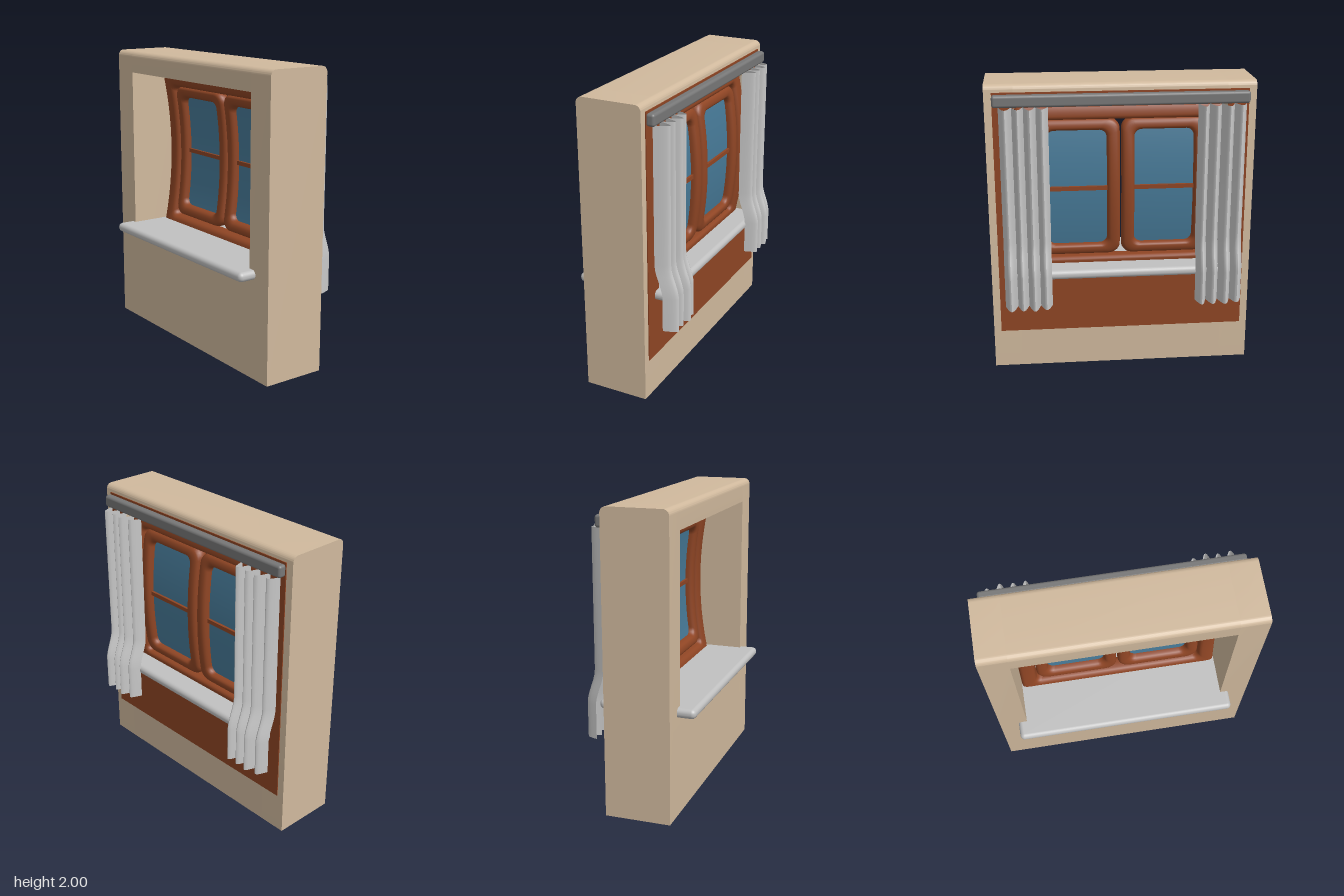
import * as THREE from 'three';
import { toCreasedNormals } from 'three/addons/utils/BufferGeometryUtils.js';
import { RoundedBoxGeometry } from 'three/addons/geometries/RoundedBoxGeometry.js';

const mat = (name, color, side = THREE.FrontSide) => {
  const m = new THREE.MeshStandardMaterial({ color, side });
  m.name = name;
  return m;
};

// Window opening: half width, bottom and top
const OPEN_X = 0.7, OPEN_Y0 = 0.67, OPEN_Y1 = 1.85, MID_Y = 1.265;
const BACK = -0.19, FRONT = 0.25;

// Bow the joinery towards the room, most at mid height
function bow(geo) {
  const p = geo.attributes.position;
  for (let i = 0; i < p.count; i++) {
    const t = (p.getY(i) - MID_Y) / 0.59;
    p.setZ(i, p.getZ(i) - 0.05 - 0.07 * (1 - t * t));
  }
  geo.computeVertexNormals();
  return geo;
}

// Points round a rounded rectangle, counter-clockwise, with divided sides
function roundedRect(w, h, r) {
  const signs = [[1, 1], [-1, 1], [-1, -1], [1, -1]];
  const at = (c, a) => new THREE.Vector2(
    signs[c][0] * (w - r) + r * Math.cos(a), signs[c][1] * (h - r) + r * Math.sin(a));
  const pts = [];
  for (let c = 0; c < 4; c++) {
    for (let k = 0; k <= 7; k++) pts.push(at(c, (c + k / 7) * Math.PI / 2));
    const from = pts[pts.length - 1], to = at((c + 1) % 4, (c + 1) * Math.PI / 2);
    for (let k = 1; k < 12; k++) pts.push(from.clone().lerp(to, k / 12));
  }
  return pts;
}

// Closed frame with a soft rounded section between an outer and inner outline
function ring(outer, inner, depth, power) {
  const N = 20, verts = [], idx = [];
  const soft = (v) => Math.sign(v) * Math.abs(v) ** power;
  const o = roundedRect(...outer), n = roundedRect(...inner);
  for (let i = 0; i < o.length; i++) {
    for (let j = 0; j < N; j++) {
      const a = (j / N) * Math.PI * 2;
      const p = n[i].clone().lerp(o[i], 0.5 + 0.5 * soft(Math.cos(a)));
      verts.push(p.x, p.y, depth * soft(Math.sin(a)));
      const i2 = (i + 1) % o.length, j2 = (j + 1) % N;
      const A = i * N + j, B = i2 * N + j, C = i2 * N + j2, D = i * N + j2;
      idx.push(A, B, C, A, C, D);
    }
  }
  const g = new THREE.BufferGeometry();
  g.setAttribute('position', new THREE.Float32BufferAttribute(verts, 3));
  g.setIndex(idx);
  return g;
}

// Wall block extruded along x, optionally with rounded top edges
function wallBlock(x0, x1, y0, y1, r) {
  const s = new THREE.Shape();
  s.moveTo(-FRONT, y0);
  s.lineTo(-BACK, y0);
  s.lineTo(-BACK, y1 - r);
  if (r) s.absarc(-BACK - r, y1 - r, r, 0, Math.PI / 2);
  else s.lineTo(-BACK, y1);
  if (r) s.absarc(-FRONT + r, y1 - r, r, Math.PI / 2, Math.PI);
  else s.lineTo(-FRONT, y1);
  const g = new THREE.ExtrudeGeometry(s, { depth: x1 - x0, bevelEnabled: false, curveSegments: 8 });
  g.rotateY(Math.PI / 2).translate(x0, 0, 0);
  return toCreasedNormals(g, 0.6);
}

// Pleated hanging: arched folds across, stepping out over the sill lower down
function curtainGeometry(edges, heights) {
  const rows = [1.86, 1.4, 0.95, 0.91, 0.87, 0.83, 0.79, 0.75, 0.72, 0.49];
  const steps = 10, cols = heights.length * steps + 1;
  const verts = [], idx = [];
  rows.forEach((y, r) => {
    const out = THREE.MathUtils.smoothstep(0.95 - y, 0, 0.23) * 0.055;
    for (let c = 0; c < cols; c++) {
      const f = Math.min(Math.floor(c / steps), heights.length - 1);
      const t = c / steps - f;
      const x = THREE.MathUtils.lerp(edges[f], edges[f + 1], t);
      verts.push(x, y, -0.218 - out - heights[f] * Math.sin(t * Math.PI));
      if (r && c) {
        const d = r * cols + c, b = d - cols;
        idx.push(b - 1, b, d, b - 1, d, d - 1);
      }
    }
  });
  const g = new THREE.BufferGeometry();
  g.setAttribute('position', new THREE.Float32BufferAttribute(verts, 3));
  g.setIndex(idx);
  return toCreasedNormals(g, 0.8);
}

export function createModel() {
  const plaster = mat('tan plaster', 0xd0b99d);
  const wood = mat('brown wood', 0x8f4524);
  const glass = mat('blue glass', 0x477a98, THREE.DoubleSide);
  const stone = mat('pale grey sill', 0xc0c0c0);
  const cloth = mat('light grey cloth', 0xc8c8c8, THREE.DoubleSide);
  const metal = mat('dark grey rod', 0x777777);

  const model = new THREE.Group();
  model.name = 'window';
  const add = (name, geo, material, parent = model) => {
    const m = new THREE.Mesh(geo, material);
    m.name = name;
    parent.add(m);
    return m;
  };

  // Wall around the opening
  const wall = new THREE.Group();
  wall.name = 'wall';
  model.add(wall);
  add('rightJamb', wallBlock(-0.89, -OPEN_X, 0, 2, 0.04), plaster, wall);
  add('leftJamb', wallBlock(OPEN_X, 0.89, 0, 2, 0.04), plaster, wall);
  add('lowerWall', wallBlock(-OPEN_X, OPEN_X, 0, OPEN_Y0, 0), plaster, wall);
  add('header', wallBlock(-OPEN_X, OPEN_X, OPEN_Y1, 2, 0.04), plaster, wall);

  // Wooden panel on the room side
  const rect = (path, x, y0, y1) => {
    path.moveTo(-x, y0);
    path.lineTo(x, y0);
    path.lineTo(x, y1);
    path.lineTo(-x, y1);
    path.closePath();
    return path;
  };
  const panel = rect(new THREE.Shape(), 0.84, 0.27, 1.95);
  panel.holes.push(rect(new THREE.Path(), OPEN_X, OPEN_Y0, OPEN_Y1));
  const panelGeo = new THREE.ExtrudeGeometry(panel, { depth: 0.006, bevelEnabled: false });
  add('backPanel', panelGeo.translate(0, 0, BACK - 0.006), wood);

  // Fixed outer frame
  const frame = ring([0.7, 0.59, 0.05], [0.585, 0.482, 0.04], 0.06, 0.6);
  add('outerFrame', bow(frame.translate(0, 1.26, 0)), wood);

  // Two sashes with glass and a glazing bar
  for (const side of [-1, 1]) {
    const sash = new THREE.Group();
    sash.name = side > 0 ? 'leftSash' : 'rightSash';
    model.add(sash);
    const x = side * 0.293, y = 1.27;
    const sashGeo = ring([0.289, 0.478, 0.075], [0.2, 0.4, 0.05], 0.05, 0.75);
    add('sashFrame', bow(sashGeo.translate(x, y, 0)), wood, sash);
    add('pane', bow(new THREE.PlaneGeometry(0.44, 0.84, 1, 16).translate(x, y, 0)), glass, sash);
    add('glazingBar', bow(new THREE.BoxGeometry(0.43, 0.028, 0.035).translate(x, 1.275, 0)), wood, sash);
  }

  // Sill running through the wall
  add('sill', new RoundedBoxGeometry(1.52, 0.064, 0.65, 4, 0.03), stone).position.set(0, 0.704, 0.045);

  // Curtain rod and curtains
  add('curtainRod', new RoundedBoxGeometry(1.68, 0.08, 0.058, 3, 0.018), metal).position.set(0, 1.9, -0.22);
  add('rightCurtain', curtainGeometry([-0.82, -0.74, -0.655, -0.575, -0.5], [0.075, 0.095, 0.088, 0.09]), cloth);
  add('leftCurtain', curtainGeometry([0.48, 0.56, 0.64, 0.715, 0.8], [0.08, 0.1, 0.088, 0.095]), cloth);
  return model;
}
